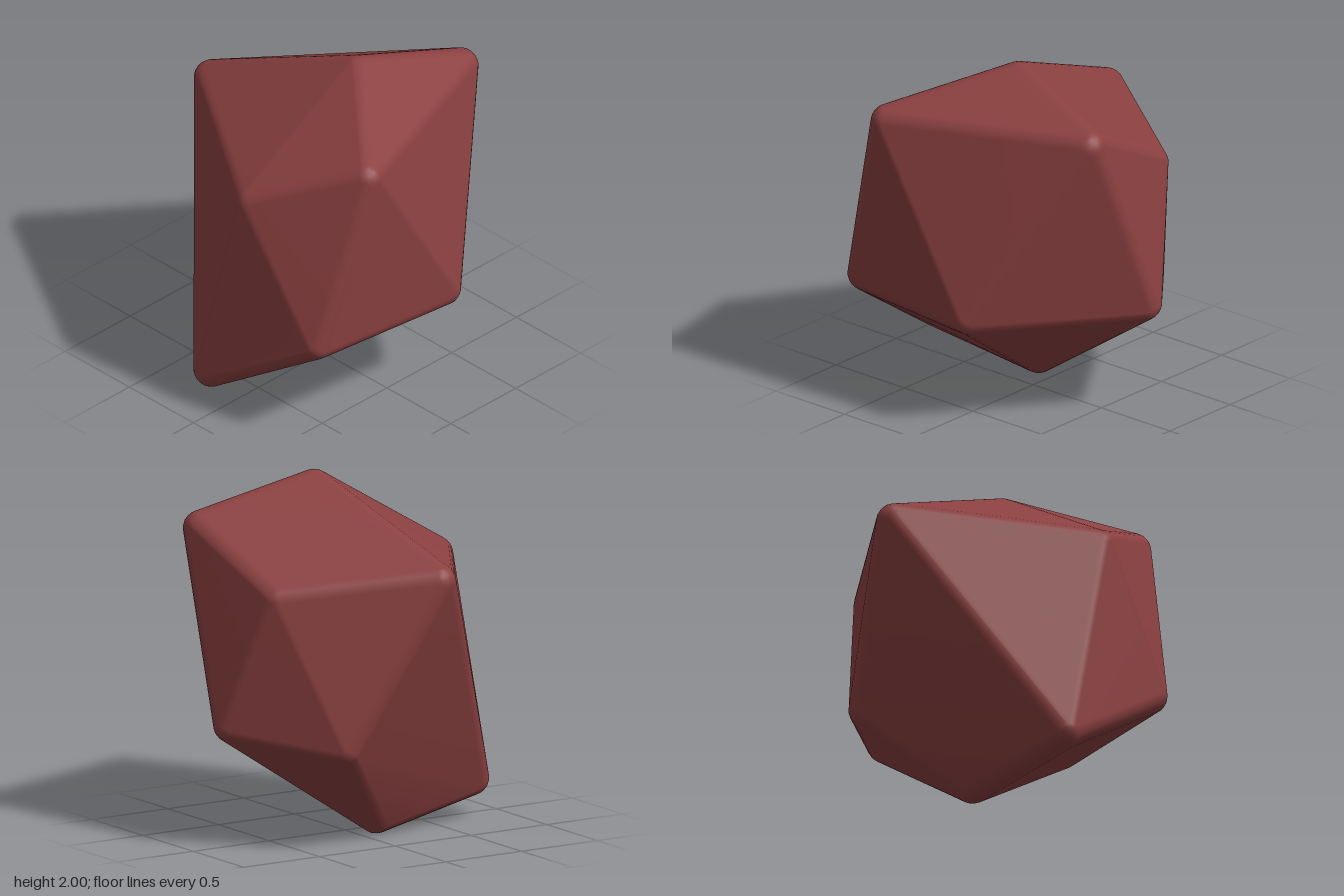
import * as THREE from 'three';
import { ConvexGeometry } from 'three/addons/geometries/ConvexGeometry.js';
import { mergeVertices } from 'three/addons/utils/BufferGeometryUtils.js';

// Radius of the worn corners and edges
const ROUNDING = 0.1;

// Centres of the rounded corners: an irregular twelve-cornered boulder
const CORNERS = [
  [0.07, 1.9, 0.2],        // peak
  [0.715, 1.72, 0.35],     // upper ring
  [-0.4, 1.69, 0.745],
  [-0.73, 1.43, 0.2],
  [-0.12, 1.515, -0.745],
  [0.62, 1.41, -0.27],
  [0.775, 0.69, -0.04],    // lower ring
  [0.19, 0.69, 0.745],
  [-0.67, 0.68, 0.63],
  [-0.78, 0.217, -0.08],
  [0.35, 0.6, -0.54],
  [-0.1, 0.1, -0.16],      // foot
];

// Keep positions only, so that coincident vertices can be joined
function weld(geometry) {
  geometry.deleteAttribute('normal');
  geometry.deleteAttribute('uv');
  return mergeVertices(geometry, 1e-4);
}

// Hull around a small ball at each corner, shaded smoothly
function roundedHull(corners, radius) {
  const ball = weld(new THREE.IcosahedronGeometry(radius, 3)).attributes.position;
  const points = [];
  for (const corner of corners) {
    const centre = new THREE.Vector3(...corner);
    for (let i = 0; i < ball.count; i++) {
      points.push(new THREE.Vector3().fromBufferAttribute(ball, i).add(centre));
    }
  }
  const hull = weld(new ConvexGeometry(points));
  hull.computeVertexNormals();
  return hull;
}

export function createModel() {
  const group = new THREE.Group();
  group.name = 'boulder';

  const redStone = new THREE.MeshStandardMaterial({ color: 0x8b4040 });
  redStone.name = 'red stone';

  const rock = new THREE.Mesh(roundedHull(CORNERS, ROUNDING), redStone);
  rock.name = 'rock';
  group.add(rock);
  return group;
}
